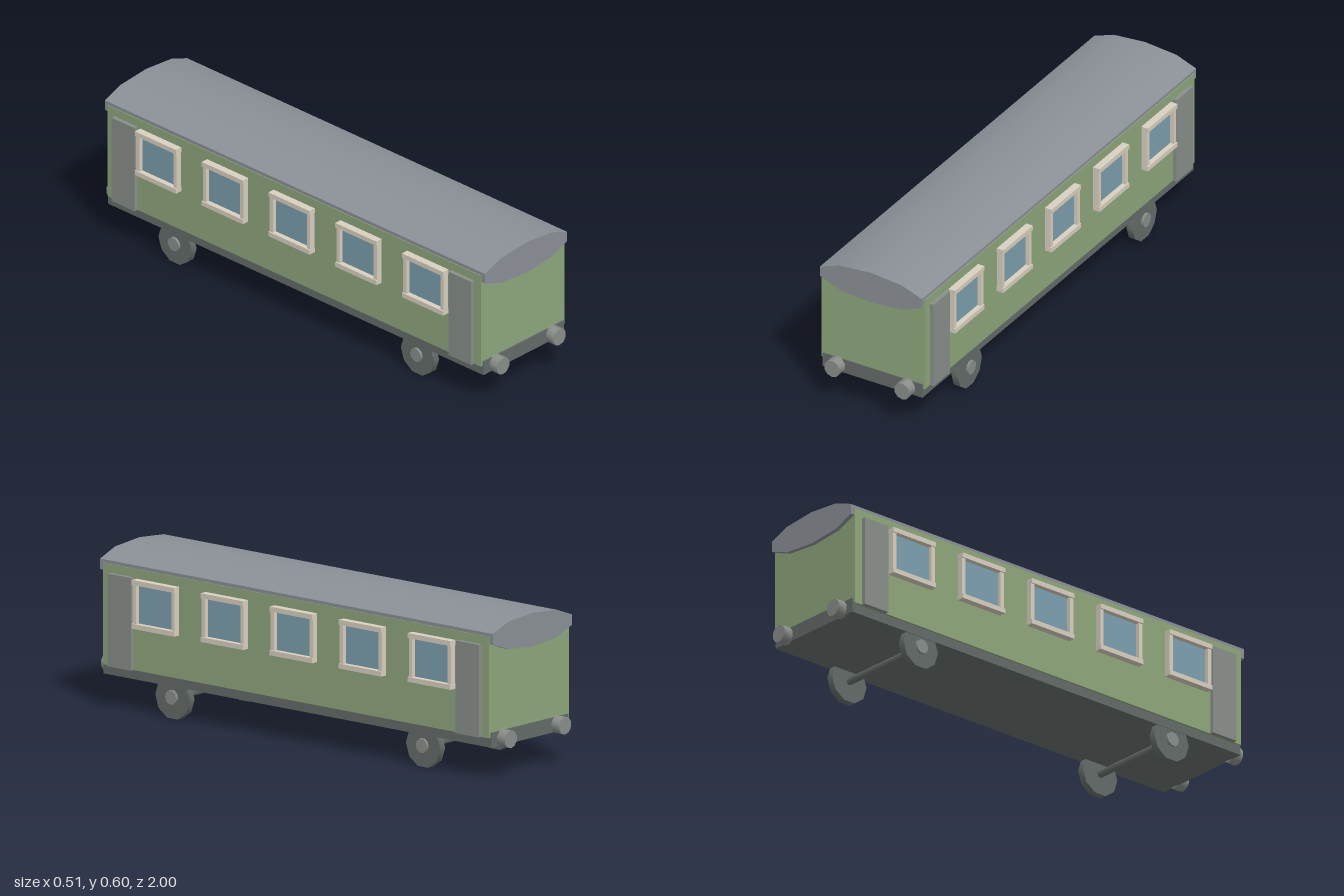
import * as THREE from 'three';
import { toCreasedNormals } from 'three/addons/utils/BufferGeometryUtils.js';

const mat = (color) => new THREE.MeshStandardMaterial({ color });
const green = mat(0x8ea67c);
const roofGrey = mat(0x8b9097);
const doorGrey = mat(0x8a8f8a);
const darkGrey = mat(0x646b69);
const cream = mat(0xd8d0c0);
const glass = mat(0x7b9fae);

function add(parent, name, geometry, material, x = 0, y = 0, z = 0) {
  const mesh = new THREE.Mesh(geometry, material);
  mesh.name = name;
  mesh.position.set(x, y, z);
  parent.add(mesh);
  return mesh;
}

// box given by its lower and upper limits on each axis
function box(parent, name, material, [x0, x1], [y0, y1], [z0, z1]) {
  return add(parent, name, new THREE.BoxGeometry(x1 - x0, y1 - y0, z1 - z0), material,
    (x0 + x1) / 2, (y0 + y1) / 2, (z0 + z1) / 2);
}

// cylinder lying along x, with a corner pointing along z and crisp rims
function disc(parent, name, material, radius, length, sides, x, y, z) {
  const geometry = new THREE.CylinderGeometry(radius, radius, length, sides).rotateZ(Math.PI / 2);
  return add(parent, name, toCreasedNormals(geometry, 0.8), material, x, y, z);
}

function createWindow(side, z) {
  const group = new THREE.Group();
  group.name = 'window';
  const across = (a, b) => (side > 0 ? [a, b] : [-b, -a]);
  box(group, 'pane', glass, across(0.215, 0.234), [0.335, 0.5], [z - 0.095, z + 0.095]);
  for (const [y0, y1] of [[0.325, 0.344], [0.492, 0.511]]) {
    box(group, 'frameRail', cream, across(0.22, 0.255), [y0, y1], [z - 0.105, z + 0.105]);
  }
  for (const s of [-1, 1]) {
    const c = z + s * 0.0955;
    box(group, 'frameStile', cream, across(0.22, 0.25), [0.344, 0.492], [c - 0.0085, c + 0.0085]);
  }
  return group;
}

function createWheelset(z) {
  const group = new THREE.Group();
  group.name = 'wheelset';
  disc(group, 'axle', darkGrey, 0.014, 0.4, 12, 0, 0.082, z);
  for (const s of [-1, 1]) {
    disc(group, 'wheel', darkGrey, 0.085, 0.028, 10, s * 0.202, 0.081, z);
    disc(group, 'hub', doorGrey, 0.028, 0.02, 10, s * 0.216, 0.082, z);
  }
  return group;
}

export function createModel() {
  const model = new THREE.Group();
  model.name = 'railwayCarriage';

  // body and underframe
  box(model, 'body', green, [-0.226, 0.226], [0.16, 0.547], [-0.955, 0.955]);
  box(model, 'underframe', darkGrey, [-0.218, 0.218], [0.123, 0.18], [-0.96, 0.96]);

  // lens-shaped roof running the full length
  const half = [[0, 0.604], [0.137, 0.592], [0.223, 0.56], [0.223, 0.52], [0.137, 0.487], [0, 0.475]];
  const mirrored = half.slice(1, -1).reverse().map(([x, y]) => [-x, y]);
  const section = new THREE.Shape([...half, ...mirrored].map(([x, y]) => new THREE.Vector2(x, y)));
  const roof = new THREE.ExtrudeGeometry(section, { depth: 1.944, bevelEnabled: false });
  roof.translate(0, 0, -0.972);
  add(model, 'roof', toCreasedNormals(roof, 0.7), roofGrey);

  // doors and windows on both sides
  for (const side of [-1, 1]) {
    for (const end of [-1, 1]) {
      const c = end * 0.861;
      box(model, 'door', doorGrey, side > 0 ? [0.21, 0.242] : [-0.242, -0.21],
        [0.16, 0.514], [c - 0.058, c + 0.058]);
    }
    for (let i = -2; i <= 2; i++) model.add(createWindow(side, i * 0.3415));
  }

  // wheels and end buffers
  for (const end of [-1, 1]) {
    model.add(createWheelset(end * 0.62));
    for (const side of [-1, 1]) {
      const buffer = new THREE.CylinderGeometry(0.0345, 0.0345, 0.045, 10).rotateX(Math.PI / 2);
      add(model, 'buffer', toCreasedNormals(buffer, 0.8), doorGrey, side * 0.153, 0.151, end * 0.9775);
    }
  }
  return model;
}
